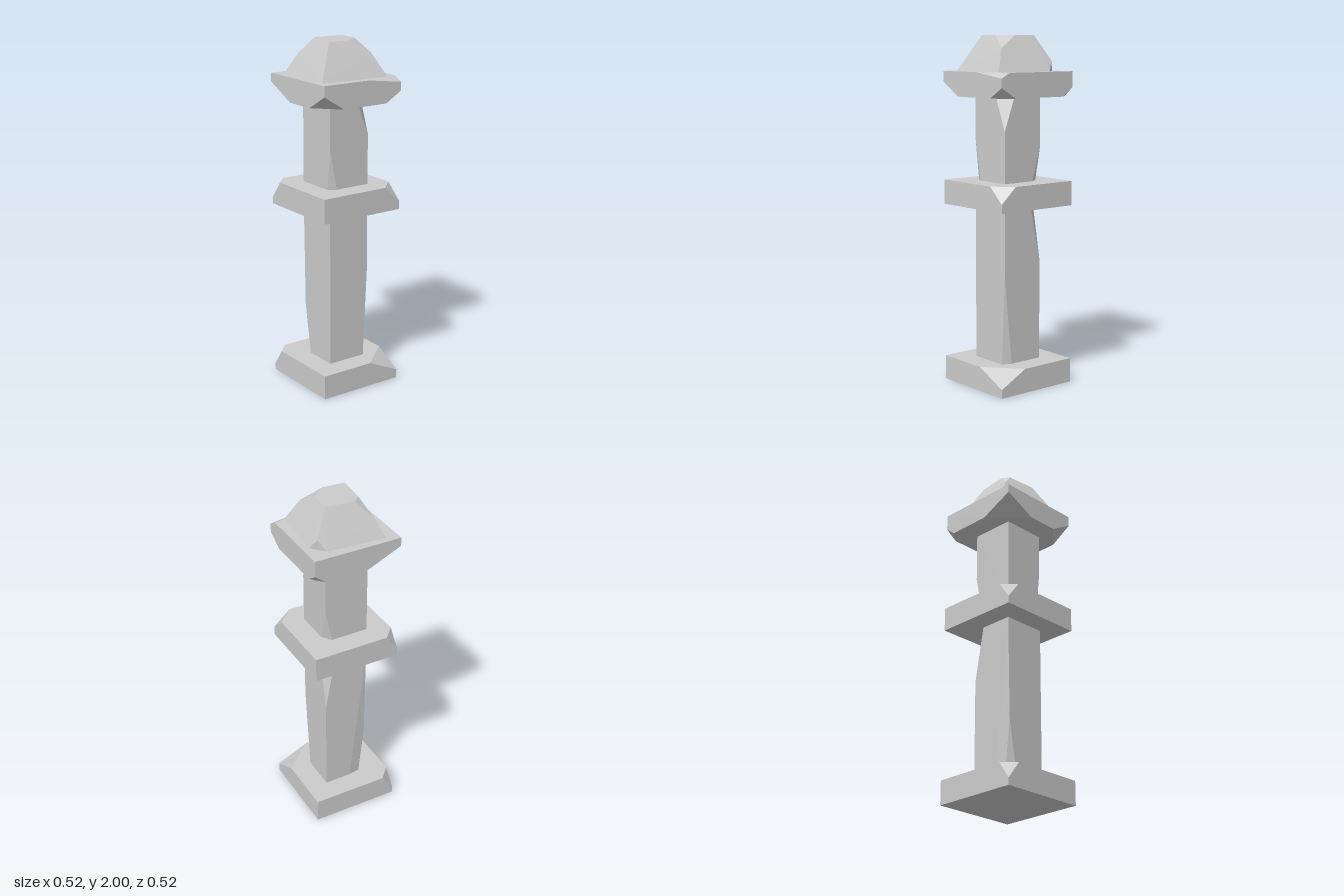
import * as THREE from 'three';
import { ConvexGeometry } from 'three/addons/geometries/ConvexGeometry.js';

const stone = new THREE.MeshStandardMaterial({ color: 0xcccccc, flatShading: true });

function hull(name, points) {
  const mesh = new THREE.Mesh(new ConvexGeometry(points), stone);
  mesh.name = name;
  return mesh;
}

// Square block with broken corners. Each chip is [corner signs x, y, z, cut length along x, y, z].
function chippedBlock(name, half, y0, y1, chips) {
  let points = [];
  for (const x of [-half, half])
    for (const y of [y0, y1])
      for (const z of [-half, half]) points.push(new THREE.Vector3(x, y, z));

  for (const [sx, sy, sz, dx, dy, dz] of chips) {
    const cornerY = sy > 0 ? y1 : y0;
    // Negative on the broken-off side of the cutting plane
    const side = (p) =>
      Math.abs(p.x - sx * half) / dx + Math.abs(p.y - cornerY) / dy + Math.abs(p.z - sz * half) / dz - 1;
    const kept = points.filter((p) => side(p) >= 0);
    const lost = points.filter((p) => side(p) < 0);
    const cuts = [];
    for (const a of lost)
      for (const b of kept) {
        const t = side(a) / (side(a) - side(b));
        cuts.push(a.clone().lerp(b, t));
      }
    points = kept.concat(cuts);
  }
  return hull(name, points);
}

export function createModel() {
  const model = new THREE.Group();
  model.name = 'stonePillar';
  const slab = 0.258, shaft = 0.13;

  model.add(
    chippedBlock('baseSlab', slab, 0, 0.14, [
      [-1, 1, 1, 0.076, 0.1, 0.07],
      [1, 1, -1, 0.17, 0.09, 0.195],
    ]),
    chippedBlock('lowerShaft', shaft, 0.14, 1.04, [
      [-1, -1, 1, 0.016, 0.86, 0.1],
      [-1, -1, 1, 0.06, 0.36, 0.04],
      [1, -1, -1, 0.05, 0.52, 0.025],
      [-1, 1, -1, 0.07, 0.32, 0.06],
    ]),
    chippedBlock('middleSlab', slab, 1.04, 1.18, [
      [-1, 1, 1, 0.076, 0.1, 0.07],
      [1, 1, -1, 0.1, 0.09, 0.1],
    ]),
    chippedBlock('upperShaft', shaft, 1.18, 1.66, [
      [1, -1, 1, 0.025, 0.24, 0.045],
      [1, 1, -1, 0.07, 0.19, 0.075],
      [-1, -1, -1, 0.055, 0.19, 0.04],
    ]),
    chippedBlock('topSlab', slab, 1.66, 1.8, [
      [-1, -1, 1, 0.19, 0.09, 0.2],
      [1, -1, 1, 0.14, 0.08, 0.13],
      [1, -1, -1, 0.1, 0.06, 0.1],
      [-1, -1, -1, 0.07, 0.05, 0.06],
      [1, 1, -1, 0.056, 0.03, 0.22],
    ])
  );

  // Slightly twisted, tapering cap with three broken corners
  const cap = [
    [-0.225, 1.8, 0.187], [0.19, 1.8, 0.223], [0.223, 1.8, -0.19],
    [-0.12, 1.8, -0.22], [-0.195, 1.8, -0.157], [-0.16, 1.86, -0.19],
    [-0.095, 2, -0.115], [0.035, 2, -0.103], [0.105, 2, 0.02 - 0.04],
    [0.095, 2, 0.112], [-0.078, 2, 0.097], [-0.111, 2, 0.056],
    [0.153, 1.93, -0.13], [-0.168, 1.905, 0.14],
  ];
  model.add(hull('cap', cap.map((p) => new THREE.Vector3(...p))));
  return model;
}
